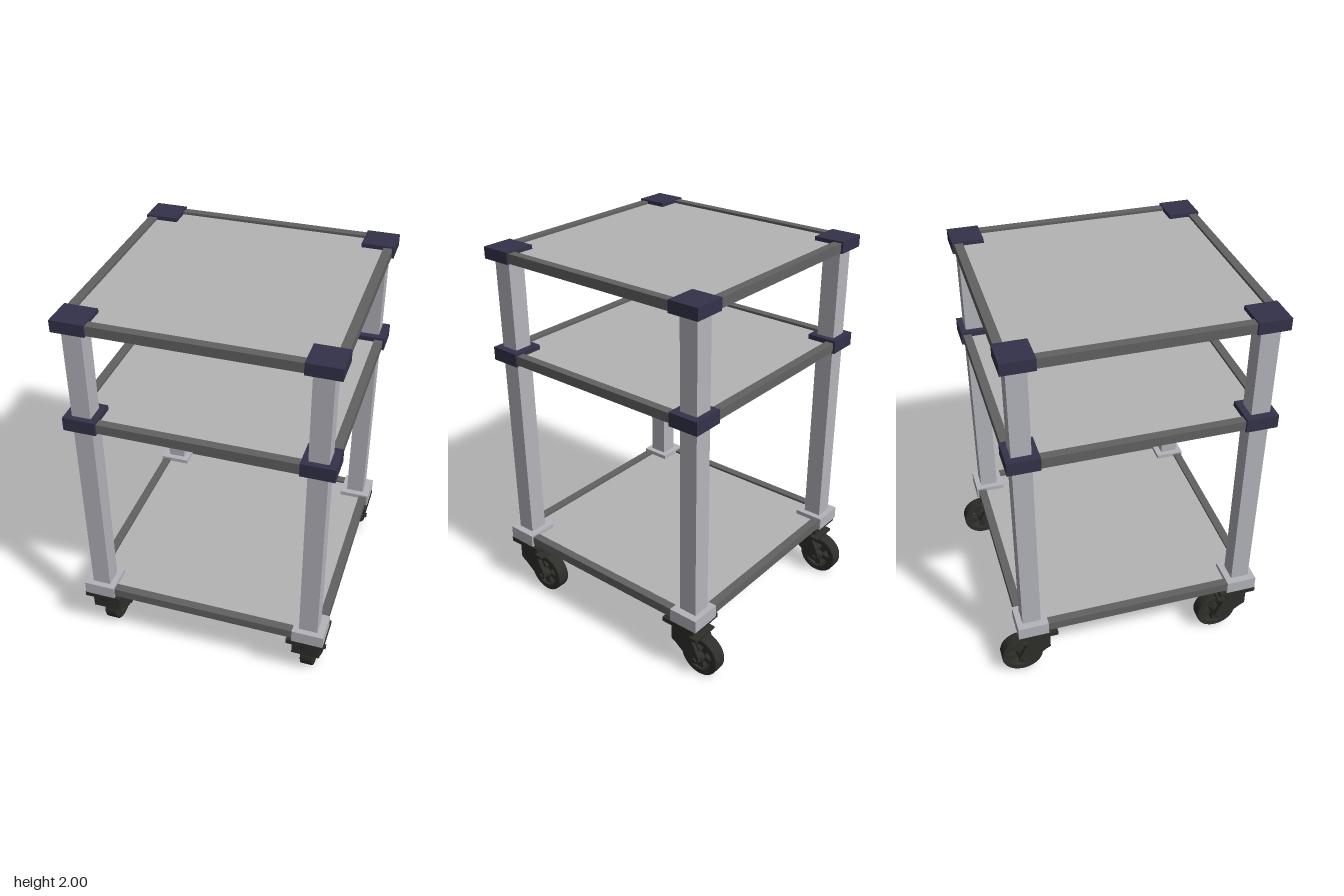
import * as THREE from 'three';

const mat = (color) => new THREE.MeshStandardMaterial({ color });
const navy = mat(0x34324a), alloy = mat(0xb4b4bc), railGrey = mat(0x626262);
const panelGrey = mat(0xb4b4b4), underside = mat(0x484545), black = mat(0x2e2e2a);

function add(parent, name, geometry, material, x = 0, y = 0, z = 0) {
  const mesh = new THREE.Mesh(geometry, material);
  mesh.name = name;
  mesh.position.set(x, y, z);
  parent.add(mesh);
  return mesh;
}

const box = (w, h, d) => new THREE.BoxGeometry(w, h, d);

// Extrude a side profile drawn as (z, y), centred across x
function sideExtrude(shape, width, bevel = 0) {
  const g = new THREE.ExtrudeGeometry(shape, {
    depth: width - 2 * bevel, bevelEnabled: bevel > 0, bevelSize: bevel,
    bevelThickness: bevel, bevelOffset: -bevel, bevelSegments: 2, curveSegments: 20,
  });
  g.translate(0, 0, bevel - width / 2);
  g.rotateY(-Math.PI / 2);
  return g;
}

const polygon = (pts) => new THREE.Shape(pts.map(([z, y]) => new THREE.Vector2(z, y)));

function disc(radius) {
  const s = new THREE.Shape();
  s.absarc(0, 0, radius, 0, Math.PI * 2);
  return s;
}

// Wheel centre with five open wedges between the spokes
function spokeGeometry() {
  const s = disc(0.086);
  for (let i = 0; i < 5; i++) {
    const a = (i / 5) * Math.PI * 2 + 0.3;
    const hole = new THREE.Path();
    hole.absarc(0, 0, 0.078, a - 0.38, a + 0.38, false);
    hole.absarc(0, 0, 0.034, a + 0.25, a - 0.25, true);
    hole.closePath();
    s.holes.push(hole);
  }
  return sideExtrude(s, 0.045);
}

// Rounded tyre ring
function tyreGeometry() {
  const s = disc(0.111);
  const hole = new THREE.Path();
  hole.absarc(0, 0, 0.076, 0, Math.PI * 2);
  s.holes.push(hole);
  return sideExtrude(s, 0.07, 0.006);
}

function makeCaster() {
  const caster = new THREE.Group();
  caster.name = 'caster';
  add(caster, 'casterPlate', box(0.197, 0.025, 0.197), black, 0, 0.298, 0);
  add(caster, 'swivelHead', new THREE.CylinderGeometry(0.075, 0.07, 0.05, 28), black, 0, 0.262, 0);

  // Crown of the fork, cut to clear the wheel
  const crown = polygon([[0.06, 0.27], [-0.055, 0.27], [-0.055, 0.242], [-0.098, 0.24],
    [-0.098, 0.227], [-0.04, 0.222], [0.0, 0.2], [0.035, 0.165], [0.06, 0.18]]);
  add(caster, 'forkCrown', sideExtrude(crown, 0.148), black);

  // Fork legs sweeping back to the axle
  const leg = polygon([[0.06, 0.24], [-0.055, 0.24], [-0.075, 0.2], [-0.108, 0.13],
    [-0.11, 0.105], [-0.095, 0.089], [-0.07, 0.088], [-0.045, 0.1], [0.06, 0.18]]);
  for (const s of [-1, 1]) {
    add(caster, 'forkLeg', sideExtrude(leg, 0.022), black, s * 0.06, 0, 0);
    const nut = add(caster, 'axleNut', new THREE.CylinderGeometry(0.014, 0.014, 0.012, 6), black, s * 0.076, 0.111, -0.085);
    nut.rotation.z = Math.PI / 2;
  }

  const wheel = new THREE.Group();
  wheel.name = 'wheel';
  wheel.position.set(0, 0.111, -0.085);
  add(wheel, 'tyre', tyreGeometry(), black);
  add(wheel, 'spokes', spokeGeometry(), black);
  add(wheel, 'hub', new THREE.CylinderGeometry(0.03, 0.03, 0.1, 20), black).rotation.z = Math.PI / 2;
  caster.add(wheel);
  return caster;
}

// One shelf: panel, four rails and four corner blocks
function makeShelf(name, railY, blockY, blockHeight, blockMaterial) {
  const shelf = new THREE.Group();
  shelf.name = name;
  add(shelf, 'panel', box(1.206, 0.015, 1.206), panelGrey, 0, railY + 0.004, 0);
  add(shelf, 'panelUnderside', box(1.206, 0.018, 1.206), underside, 0, railY - 0.0125, 0);
  for (const s of [-1, 1]) {
    add(shelf, 'crossRail', box(1.15, 0.049, 0.044), railGrey, 0, railY, s * 0.624);
    add(shelf, 'sideRail', box(0.044, 0.049, 1.15), railGrey, s * 0.624, railY, 0);
    for (const t of [-1, 1]) {
      add(shelf, 'cornerBlock', box(0.165, blockHeight, 0.16), blockMaterial, s * 0.574, blockY, t * 0.576);
    }
  }
  return shelf;
}

export function createModel() {
  const cart = new THREE.Group();
  cart.name = 'shelfCart';

  // Frame sits slightly forward because the wheels trail behind
  const frame = new THREE.Group();
  frame.name = 'frame';
  frame.position.z = 0.045;
  cart.add(frame);
  frame.add(makeShelf('bottomShelf', 0.345, 0.345, 0.07, alloy));
  frame.add(makeShelf('middleShelf', 1.438, 1.44, 0.07, navy));
  frame.add(makeShelf('topShelf', 1.968, 1.97, 0.06, navy));

  for (const sx of [-1, 1]) {
    for (const sz of [-1, 1]) {
      add(frame, 'post', box(0.096, 1.61, 0.096), alloy, sx * 0.571, 1.155, sz * 0.578);
      const caster = makeCaster();
      caster.position.set(sx * 0.561, 0, sz * 0.553 + 0.006);
      frame.add(caster);
    }
  }
  return cart;
}
